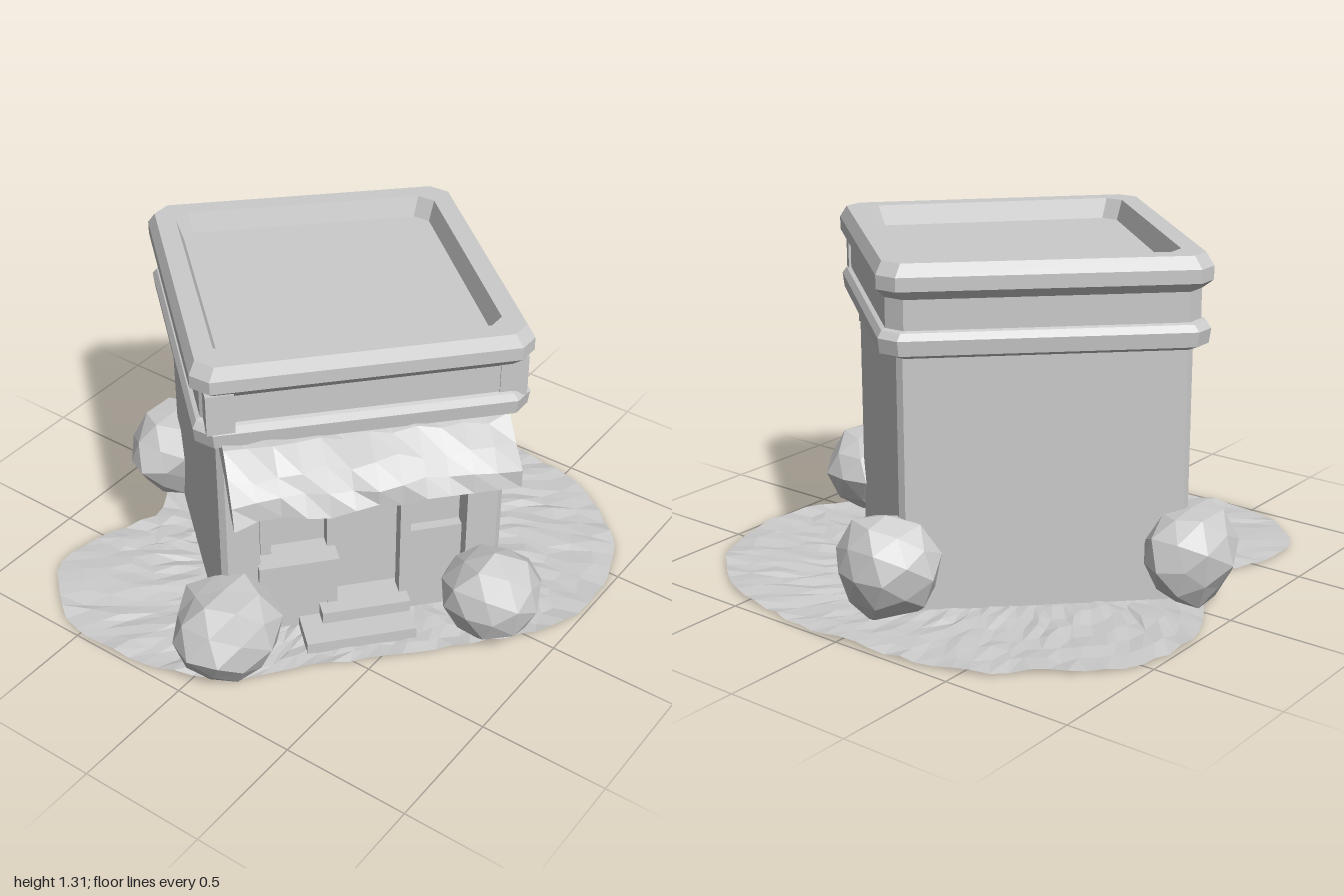
import * as THREE from 'three';

const mat = new THREE.MeshStandardMaterial({ color: 0xcccccc, flatShading: true, side: THREE.DoubleSide });

// Repeatable noise from a position, in -1..1
const noise = (x, y, z) => {
  const s = Math.sin(x * 12.99 + y * 78.23 + z * 37.72) * 4375.85;
  return (s - Math.floor(s)) * 2 - 1;
};

function add(parent, name, geometry, x = 0, y = 0, z = 0) {
  const mesh = new THREE.Mesh(geometry, mat);
  mesh.name = name;
  mesh.position.set(x, y, z);
  parent.add(mesh);
  return mesh;
}

// Skin a row of closed rings, each a list of [x, y, z]
function loft(rings) {
  const n = rings[0].length, index = [];
  for (let j = 0; j < rings.length - 1; j++) {
    for (let i = 0; i < n; i++) {
      const k = (i + 1) % n, a = j * n, b = a + n;
      index.push(a + i, a + k, b + k, a + i, b + k, b + i);
    }
  }
  const g = new THREE.BufferGeometry();
  g.setAttribute('position', new THREE.Float32BufferAttribute(rings.flat(2), 3));
  g.setIndex(index);
  g.computeVertexNormals();
  return g;
}

// Four-cornered plan [x, z], scaled about its middle with cut corners
function planRing(corners, scale, y, cut) {
  const cx = -0.01, cz = -0.025, ring = [];
  corners.forEach((c, i) => {
    for (const o of [corners[(i + 3) % 4], corners[(i + 1) % 4]]) {
      const x = c[0] + (o[0] - c[0]) * cut, z = c[1] + (o[1] - c[1]) * cut;
      ring.push([cx + (x - cx) * scale, y, cz + (z - cz) * scale]);
    }
  });
  return ring;
}

// Faceted boulder, flattened where it meets the ground
function boulder(rx, ry, rz, seed) {
  const g = new THREE.IcosahedronGeometry(1, 1);
  const p = g.attributes.position;
  for (let i = 0; i < p.count; i++) {
    const x = p.getX(i), y = p.getY(i), z = p.getZ(i);
    const q = [x, y, z].map(v => Math.round(v * 50));
    const k = 1 + 0.09 * noise(q[0] + seed, q[1], q[2]);
    const taper = y < -0.3 ? 0.9 : 1;
    p.setXYZ(i, x * k * rx * taper, Math.max(y * k, -0.93) * ry, z * k * rz * taper);
  }
  g.computeVertexNormals();
  return g;
}

export function createModel() {
  const model = new THREE.Group();

  // Ground sheet: irregular outline filled with rumpled rings
  const outline = new THREE.CatmullRomCurve3([
    [-0.73, -0.83], [-0.58, -0.83], [-0.42, -0.77], [-0.26, -0.72], [-0.05, -0.85], [0.15, -0.96], [0.3, -0.99],
    [0.5, -0.95], [0.66, -0.85], [0.75, -0.72], [0.88, -0.58], [0.95, -0.4], [0.98, -0.15], [0.99, 0.1],
    [0.96, 0.38], [0.9, 0.6], [0.8, 0.75], [0.62, 0.92], [0.4, 0.98], [0.25, 0.99], [0.1, 0.95], [-0.03, 0.86],
    [-0.3, 0.62], [-0.6, 0.34], [-0.87, 0.1], [-0.94, -0.08], [-0.98, -0.2], [-0.99, -0.4], [-0.95, -0.6],
    [-0.85, -0.73],
  ].map(([x, z]) => new THREE.Vector3(x, 0, z)), true);
  const rim = outline.getSpacedPoints(96).slice(0, 96).reverse();
  const groundRings = [];
  for (let j = 0; j <= 12; j++) {
    const t = 1 - j / 12;
    groundRings.push(rim.map((p, i) => {
      const w = j % 12 ? 0.02 : 0.006;
      return [p.x * t + w * t * noise(i, j, 1), 0.009 + 0.008 * noise(i, j, 2), p.z * t + w * t * noise(i, j, 3)];
    }));
  }
  add(model, 'ground', loft(groundRings));

  // Building plan, with the shop side cut back between two corner posts
  const left = [-0.72, 0], front = [0.07, 0.7], right = [0.68, -0.03], back = [-0.05, -0.78];
  const len = Math.hypot(front[0] - left[0], front[1] - left[1]);
  const e = [(front[0] - left[0]) / len, (front[1] - left[1]) / len];
  const at = (u, d) => [left[0] + e[0] * u - e[1] * d, left[1] + e[1] * u + e[0] * d];
  const plan = [
    at(0.02, 0), at(0.14, 0), at(0.14, -0.1), at(0.42, -0.1), at(0.42, -0.16), at(0.7, -0.16),
    at(0.7, -0.1), at(0.92, -0.1), at(0.92, 0), at(len - 0.02, 0),
    [0.085, 0.685], [0.67, -0.015], [0.67, -0.045], [-0.035, -0.765], [-0.065, -0.765], [-0.71, -0.015],
  ];
  const shape = new THREE.Shape(plan.map(([x, z]) => new THREE.Vector2(x, -z)));
  const walls = new THREE.ExtrudeGeometry(shape, { depth: 0.97, bevelEnabled: false });
  walls.rotateX(-Math.PI / 2);
  add(model, 'walls', walls, 0, 0.01, 0);

  // Roof: two ledges around a plain band, and a sunken top
  const eaves = [[-0.83, -0.01], [0.06, 0.82], [0.78, -0.03], [-0.05, -0.88]];
  const profile = [
    [0, 0.97], [0.93, 0.97], [0.975, 0.985], [0.985, 1.04], [0.96, 1.065], [0.935, 1.07], [0.935, 1.18],
    [0.99, 1.215], [0.99, 1.265], [0.95, 1.31], [0.83, 1.31], [0.79, 1.235], [0, 1.235],
  ];
  add(model, 'roof', loft(profile.map(([s, y]) => planRing(eaves, s, y, 0.05))));

  // Shop side: x runs along the wall, z points out of it
  const shop = new THREE.Group();
  shop.name = 'shopFront';
  shop.position.set(left[0], 0, left[1]);
  shop.rotation.y = -Math.atan2(e[1], e[0]);
  model.add(shop);
  const box = (name, w, h, d, x, y, z) => add(shop, name, new THREE.BoxGeometry(w, h, d), x, y, z);

  box('windowSill', 0.3, 0.09, 0.14, 0.28, 0.34, -0.04);
  box('windowPanelBase', 0.28, 0.28, 0.05, 0.28, 0.15, -0.08);
  box('sidePanelBase', 0.22, 0.38, 0.04, 0.81, 0.2, -0.08);
  for (const x of [0.17, 0.42, 0.7]) box('frontUpright', 0.04, 0.95, 0.06, x, 0.49, -0.08);
  box('lowerStep', 0.42, 0.05, 0.16, 0.5, 0.03, 0.03);
  box('upperStep', 0.34, 0.05, 0.14, 0.54, 0.08, -0.06);

  // Blocks framing the band above the awning
  for (const x of [0.01, len - 0.01]) box('signFrameBlock', 0.1, 0.16, 0.07, x, 1.125, 0.025);

  // Awning: drooping cloth with an uneven lower edge
  const cloth = [[-0.02, 1.0], [0.08, 0.98], [0.17, 0.92], [0.23, 0.85], [0.25, 0.78], [0.21, 0.785], [0.1, 0.89], [-0.02, 0.93]];
  const folds = 12, awning = [];
  for (let j = 0; j <= folds; j++) {
    awning.push(cloth.map(([d, y], i) => {
      const loose = i > 0 && i < 7 ? 0.018 : 0;
      return [0.01 + (len - 0.03) * j / folds, y + loose * noise(i, j, 5), d + loose * noise(i, j, 9)];
    }));
  }
  const closed = r => r.map(() => [r[0][0], 0.9, 0.13]);
  add(shop, 'awning', loft([closed(awning[0]), ...awning, closed(awning[folds])]));

  // Corner boulders: x, z, radii
  [
    [-0.785, 0.06, 0.21, 0.2, 0.2], [-0.05, 0.75, 0.2, 0.19, 0.2],
    [0.71, 0.01, 0.18, 0.2, 0.21], [-0.05, -0.79, 0.21, 0.2, 0.17],
  ].forEach(([x, z, rx, ry, rz], i) => add(model, 'boulder', boulder(rx, ry, rz, i * 7 + 1), x, 0.185, z));

  return model;
}
